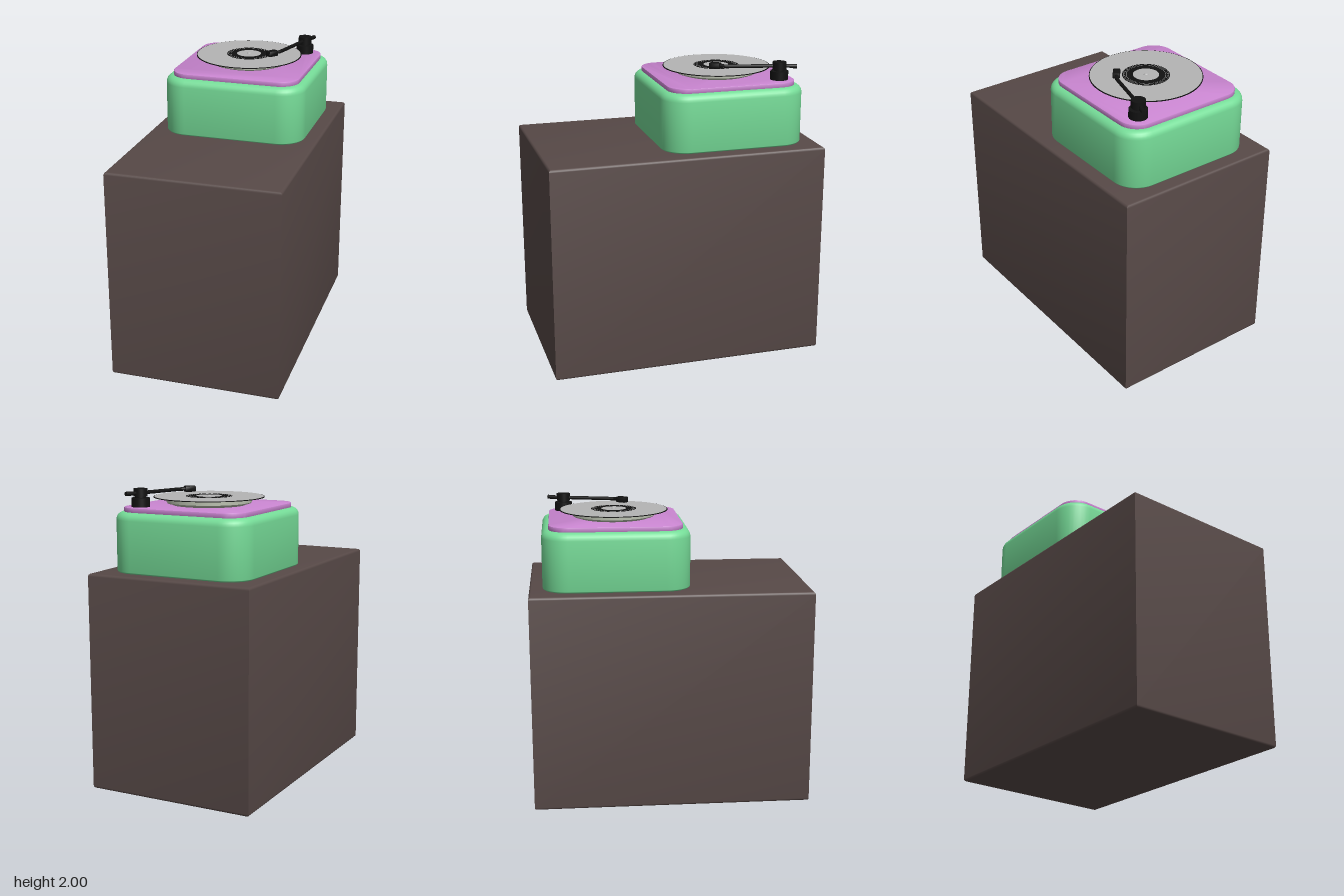
import * as THREE from 'three';
import { toCreasedNormals } from 'three/addons/utils/BufferGeometryUtils.js';

const paint = (color) => new THREE.MeshStandardMaterial({ color });
const brown = paint(0x574947), green = paint(0x76dc98), pink = paint(0xc985d0);
const black = paint(0x111111), grey = paint(0xb4b4b4), pale = paint(0xb9bfae);

// Centre of the turntable and height of its record
const CZ = -0.353;
const RECORD_Y = 1.936;

// Rounded-rectangle solid: one ring of corners per [inset, y] step, capped both ends
function roundedSolid(halfW, halfD, radius, segments, steps) {
  const positions = [], index = [];
  const n = 4 * (segments + 1);
  for (const [inset, y] of steps) {
    const r = Math.max(radius - inset, 0);
    for (let c = 0; c < 4; c++) {
      const sx = c === 0 || c === 3 ? 1 : -1;
      const sz = c < 2 ? 1 : -1;
      for (let s = 0; s <= segments; s++) {
        const a = (c + (segments ? s / segments : 0.5)) * Math.PI / 2;
        positions.push(
          sx * (halfW - inset - r) + r * Math.cos(a), y,
          sz * (halfD - inset - r) + r * Math.sin(a));
      }
    }
  }
  const last = (steps.length - 1) * n;
  for (let k = 0; k < last; k += n) {
    for (let i = 0; i < n; i++) {
      const j = (i + 1) % n;
      index.push(k + i, k + n + i, k + j, k + j, k + n + i, k + n + j);
    }
  }
  for (let i = 1; i < n - 1; i++) {
    index.push(0, i, i + 1, last, last + i + 1, last + i);
  }
  const geometry = new THREE.BufferGeometry();
  geometry.setAttribute('position', new THREE.Float32BufferAttribute(positions, 3));
  geometry.setIndex(index);
  return toCreasedNormals(geometry, 0.6);
}

// Quarter-round bottom and top edges as [inset, y] steps
function roundedEdges(y0, y1, bottomR, topR, count) {
  const steps = [];
  for (let i = 0; i <= count; i++) {
    const a = i / count * Math.PI / 2;
    steps.push([bottomR * (1 - Math.sin(a)), y0 + bottomR * (1 - Math.cos(a))]);
  }
  for (let i = 0; i <= count; i++) {
    const a = i / count * Math.PI / 2;
    steps.push([topR * (1 - Math.cos(a)), y1 - topR * (1 - Math.sin(a))]);
  }
  return steps;
}

export function createModel() {
  const model = new THREE.Group();
  const add = (name, geometry, material, parent = model, x = 0, y = 0, z = 0) => {
    const mesh = new THREE.Mesh(geometry, material);
    mesh.name = name;
    mesh.position.set(x, y, z);
    parent.add(mesh);
    return mesh;
  };

  // Cabinet: eased top and bottom edges, square vertical corners
  add('cabinet', roundedSolid(0.58, 0.93, 0, 0, roundedEdges(0, 1.46, 0.018, 0.018, 4)), brown);

  // Turntable body and top plate
  const turntable = new THREE.Group();
  turntable.name = 'turntable';
  turntable.position.z = CZ;
  model.add(turntable);
  add('body', roundedSolid(0.488, 0.488, 0.17, 10, roundedEdges(1.46, 1.852, 0.015, 0.05, 6)), green, turntable);
  add('topPlate', roundedSolid(0.44, 0.44, 0.13, 10, roundedEdges(1.85, 1.882, 0.003, 0.005, 2)), pink, turntable);

  // Platter
  const platterProfile = [[0, 1.88], [0.24, 1.88], [0.25, 1.888], [0.275, 1.893], [0.281, 1.9], [0.281, 1.932], [0, 1.932]]
    .map(([r, y]) => new THREE.Vector2(r, y));
  add('platter', toCreasedNormals(new THREE.LatheGeometry(platterProfile, 48), 0.5), pale, turntable);

  // Record: dark rim, light playing face, dark centre band and label
  const disc = (name, radius, bottom, top, material) => add(
    name, new THREE.CylinderGeometry(radius, radius, top - bottom, 64), material, turntable, 0, (top + bottom) / 2, 0);
  disc('record', 0.365, 1.931, RECORD_Y, black);
  disc('recordFace', 0.36, RECORD_Y - 0.002, RECORD_Y + 0.001, grey);
  disc('centreBand', 0.153, RECORD_Y, RECORD_Y + 0.002, black);
  disc('label', 0.084, RECORD_Y, RECORD_Y + 0.003, grey);
  for (const r of [0.127, 0.137, 0.146]) {
    const groove = add('groove', new THREE.RingGeometry(r - 0.001, r + 0.001, 64), grey, turntable, 0, RECORD_Y + 0.0025, 0);
    groove.rotation.x = -Math.PI / 2;
  }
  add('spindle', new THREE.SphereGeometry(0.015, 16, 8, 0, Math.PI * 2, 0, Math.PI / 2), grey, turntable, 0, RECORD_Y + 0.002, 0)
    .scale.y = 0.6;

  // Tonearm pivot
  const tonearm = new THREE.Group();
  tonearm.name = 'tonearm';
  tonearm.position.set(0.32, 0, -0.69);
  model.add(tonearm);
  add('pivotBase', new THREE.CylinderGeometry(0.06, 0.06, 0.06, 32), black, tonearm, 0, 1.91, 0);
  add('pivotNeck', new THREE.CylinderGeometry(0.035, 0.035, 0.02, 24), black, tonearm, 0, 1.945, 0);
  add('pivotCap', new THREE.CylinderGeometry(0.046, 0.046, 0.05, 32), black, tonearm, 0, 1.975, 0);

  // Arm tube with a kinked end
  const armY = 1.971;
  const points = [[0.03, -0.09], [0, 0], [-0.086, 0.32], [-0.096, 0.35], [-0.12, 0.38]]
    .map(([x, z]) => new THREE.Vector3(x, armY, z));
  const path = new THREE.CurvePath();
  for (let i = 1; i < points.length; i++) path.add(new THREE.LineCurve3(points[i - 1], points[i]));
  add('armTube', new THREE.TubeGeometry(path, 60, 0.012, 10), black, tonearm);

  // Counterweight behind the pivot
  const weight = add('counterweight', new THREE.CylinderGeometry(0.014, 0.014, 0.05, 16), black, tonearm, 0.034, armY, -0.085);
  weight.rotation.set(Math.PI / 2, 0, 0.33);

  // Head shell, turned in line with the kinked end
  const head = add('headShell', roundedSolid(0.023, 0.037, 0.004, 2, roundedEdges(-0.02, 0.02, 0.008, 0.008, 2)), black, tonearm, -0.136, armY, 0.405);
  head.rotation.y = -0.68;

  return model;
}
